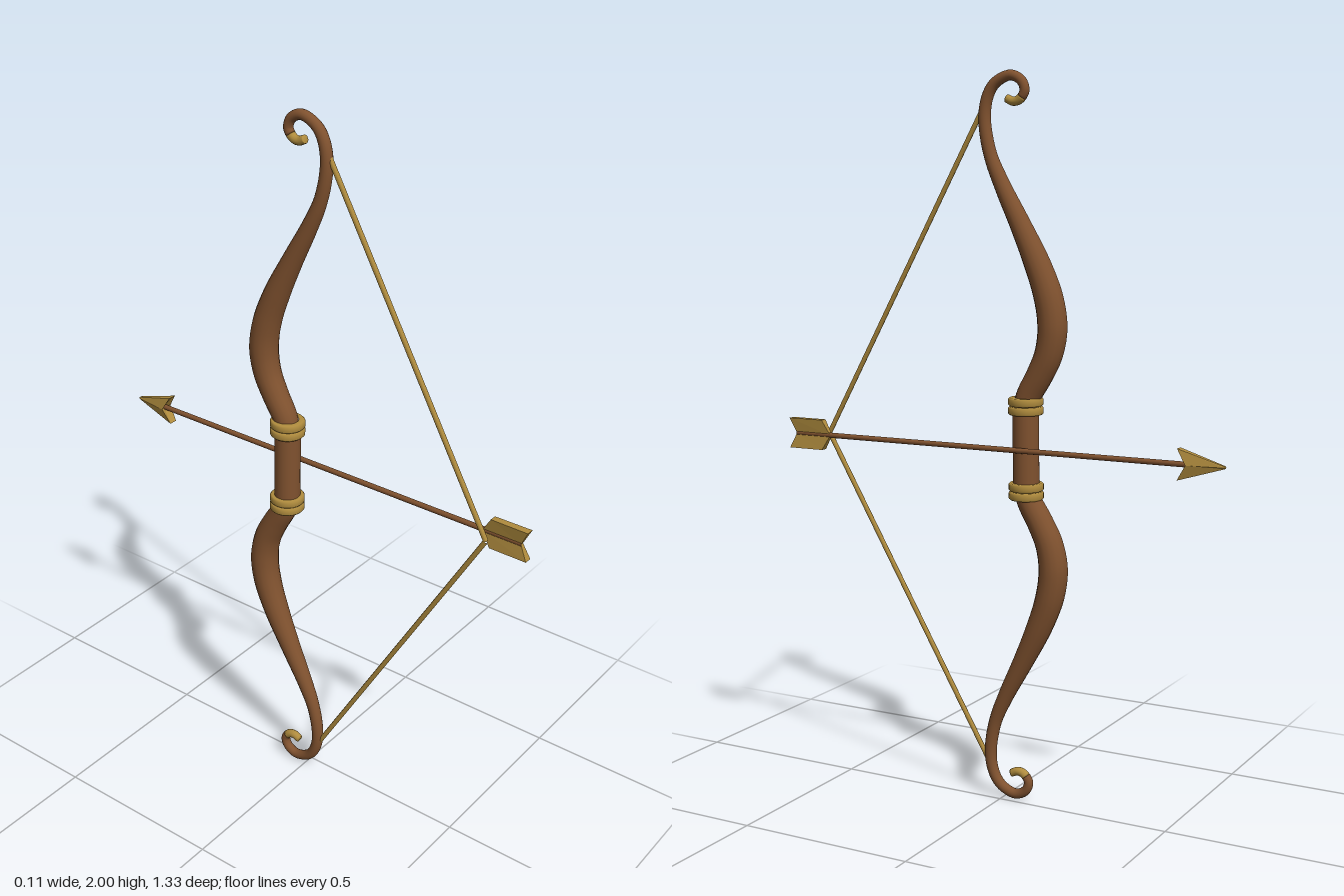
import * as THREE from 'three';

const wood = new THREE.MeshStandardMaterial({ color: 0x80522f });
const gold = new THREE.MeshStandardMaterial({ color: 0xb08c3e });
const goldFlat = new THREE.MeshStandardMaterial({ color: 0xb08c3e, flatShading: true });

function add(parent, name, geometry, material) {
  const mesh = new THREE.Mesh(geometry, material);
  mesh.name = name;
  parent.add(mesh);
  return mesh;
}

function indexed(positions, index) {
  const g = new THREE.BufferGeometry();
  g.setAttribute('position', new THREE.Float32BufferAttribute(positions, 3));
  g.setIndex(index);
  g.computeVertexNormals();
  return g;
}

// Tapered round sweep along part of a curve lying in the yz plane
function taperedSweep(curve, radiusAt, t0, t1, steps, sides = 16) {
  const pos = [], index = [];
  const side = new THREE.Vector3(1, 0, 0);
  for (let i = -1; i <= steps + 1; i++) {
    const t = t0 + (t1 - t0) * THREE.MathUtils.clamp(i / steps, 0, 1);
    const p = curve.getPoint(t);
    const n = new THREE.Vector3().crossVectors(curve.getTangent(t), side);
    const r = i < 0 || i > steps ? 0 : radiusAt(t); // closed ends
    for (let j = 0; j < sides; j++) {
      const a = (j / sides) * Math.PI * 2;
      const c = Math.cos(a) * r, s = Math.sin(a) * r;
      pos.push(p.x + c, p.y + n.y * s, p.z + n.z * s);
    }
  }
  for (let i = 0; i < steps + 2; i++) {
    for (let j = 0; j < sides; j++) {
      const a = i * sides + j, b = i * sides + (j + 1) % sides;
      index.push(a, b, a + sides, b, b + sides, a + sides);
    }
  }
  return indexed(pos, index);
}

// Six-cornered blade from a rear section (larger z) to a fore section:
// zc/ze = z at centre/edge, wc/we = half thickness at centre/edge, h = half height, cap = z of cap centre
function blade(rear, fore) {
  const pos = [], index = [];
  for (const { zc, ze, wc, we, h } of [rear, fore]) {
    pos.push(wc, 0, zc, we, h, ze, -we, h, ze, -wc, 0, zc, -we, -h, ze, we, -h, ze);
  }
  pos.push(0, 0, rear.cap, 0, 0, fore.cap);
  for (let j = 0; j < 6; j++) {
    const k = (j + 1) % 6;
    index.push(j, j + 6, k, k, j + 6, k + 6);
    index.push(12, j, k, 13, k + 6, j + 6);
  }
  return indexed(pos, index);
}

// Straight rod between two points
function rod(a, b, r, sides) {
  return new THREE.TubeGeometry(new THREE.LineCurve3(a, b), 1, r, sides, false);
}

const GRIP_Z = -0.076;

// Upper limb: [height above grip centre, z, radius]
const LIMB = [
  [0.09, GRIP_Z, 0.034], [0.14, -0.084, 0.034], [0.2, -0.118, 0.036], [0.26, -0.146, 0.038],
  [0.33, -0.157, 0.04], [0.41, -0.145, 0.039], [0.5, -0.111, 0.035], [0.6, -0.062, 0.028],
  [0.7, -0.01, 0.022], [0.78, 0.025, 0.018], [0.86, 0.041, 0.017], [0.92, 0.036, 0.016],
  [0.963, 0.012, 0.015], [0.984, -0.032, 0.014], [0.972, -0.066, 0.0135], [0.945, -0.078, 0.013],
  [0.923, -0.065, 0.0125], [0.917, -0.045, 0.012], [0.925, -0.025, 0.011],
];

function radiusAt(t) {
  const f = t * (LIMB.length - 1);
  const i = Math.min(Math.floor(f), LIMB.length - 2);
  return THREE.MathUtils.lerp(LIMB[i][2], LIMB[i + 1][2], f - i);
}

function makeBow() {
  const bow = new THREE.Group();
  bow.name = 'bow';

  const grip = add(bow, 'grip', new THREE.CylinderGeometry(0.036, 0.036, 0.24, 20), wood);
  grip.position.z = GRIP_Z;

  // Softly bevelled band, used in pairs at each end of the grip
  const bandProfile = [
    [0.03, -0.011], [0.044, -0.011], [0.048, -0.007], [0.048, 0.007], [0.044, 0.011], [0.03, 0.011],
  ].map(([x, y]) => new THREE.Vector2(x, y));
  const band = new THREE.LatheGeometry(bandProfile, 24);

  for (const s of [1, -1]) {
    const end = s > 0 ? 'upper' : 'lower';
    const curve = new THREE.CatmullRomCurve3(
      LIMB.map(([y, z]) => new THREE.Vector3(0, s * y, z)), false, 'catmullrom', 0.5);
    const split = 15.7 / (LIMB.length - 1);
    add(bow, end + 'Limb', taperedSweep(curve, radiusAt, 0, split, 80), wood);
    add(bow, end + 'CurlTip', taperedSweep(curve, radiusAt, split, 1, 16), gold);
    for (const y of [0.104, 0.128]) {
      add(bow, end + 'GripBand', band, gold).position.set(0, s * y, GRIP_Z);
    }
    add(bow, end + 'String',
      rod(new THREE.Vector3(0, s * 0.895, 0.05), new THREE.Vector3(0, 0, 0.563), 0.007, 8), gold);
  }

  // The bow leans slightly sideways
  bow.position.set(-0.007, 1, 0);
  bow.rotation.z = -0.0175;
  return bow;
}

function makeArrow() {
  const arrow = new THREE.Group();
  arrow.name = 'arrow';
  add(arrow, 'arrowShaft',
    rod(new THREE.Vector3(0, 0, 0.643), new THREE.Vector3(0, 0, -0.6), 0.0075, 10), wood);
  // Barbed head, narrowing to the tip
  add(arrow, 'arrowHead', blade(
    { zc: -0.562, ze: -0.537, wc: 0.018, we: 0.012, h: 0.041, cap: -0.572 },
    { zc: -0.663, ze: -0.663, wc: 0.006, we: 0.004, h: 0.003, cap: -0.663 },
  ), goldFlat);
  // Swallow-tailed fletching, pinched along its middle
  add(arrow, 'fletching', blade(
    { zc: 0.642, ze: 0.663, wc: 0.005, we: 0.011, h: 0.043, cap: 0.642 },
    { zc: 0.527, ze: 0.553, wc: 0.005, we: 0.01, h: 0.043, cap: 0.527 },
  ), goldFlat);
  arrow.position.set(0.038, 1, 0);
  return arrow;
}

export function createModel() {
  const model = new THREE.Group();
  model.name = 'bowAndArrow';
  model.add(makeBow(), makeArrow());
  return model;
}
